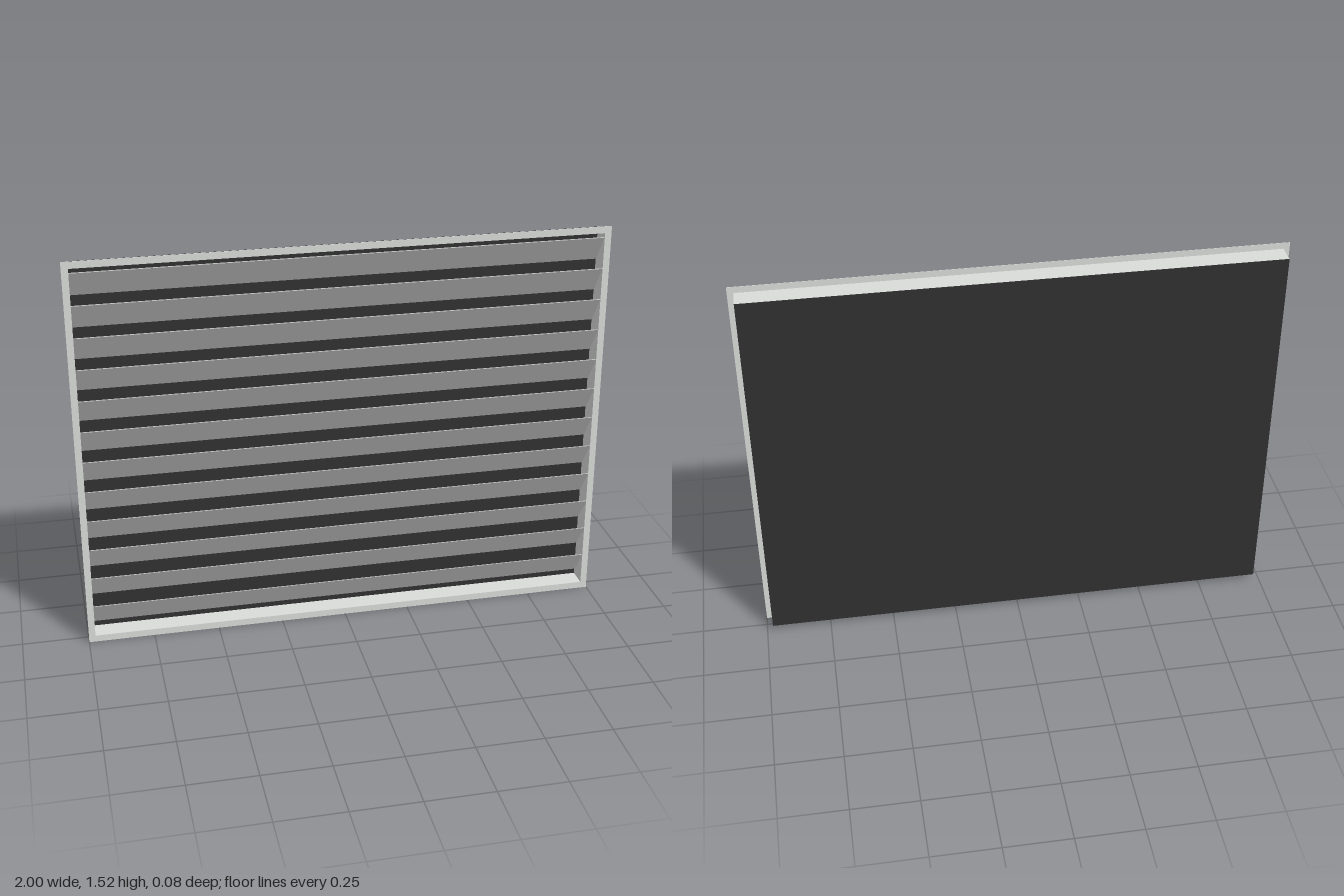
import * as THREE from 'three';

const W = 0.977, BOTTOM = 0.024, TOP = 1.496, H = 1.52, D = 0.039;

// Rectangular ring with a rectangular opening, extruded from z0 to z1
function ring(x, y0, y1, hx, hy0, hy1, z0, z1) {
  const rect = (path, a, b, c) => path.moveTo(-a, b).lineTo(a, b).lineTo(a, c).lineTo(-a, c).closePath();
  const shape = rect(new THREE.Shape(), x, y0, y1);
  shape.holes.push(rect(new THREE.Path(), hx, hy0, hy1));
  return new THREE.ExtrudeGeometry(shape, { depth: z1 - z0, bevelEnabled: false }).translate(0, 0, z0);
}

export function createModel() {
  const paleGrey = new THREE.MeshStandardMaterial({ color: 0xdadcda });
  paleGrey.name = 'pale grey';
  const panelDark = new THREE.MeshStandardMaterial({ color: 0x313131 });
  panelDark.name = 'panel dark';

  const group = new THREE.Group();
  group.name = 'louverVent';
  const add = (name, geometry, material) => {
    const mesh = new THREE.Mesh(geometry, material);
    mesh.name = name;
    group.add(mesh);
    return mesh;
  };

  // Thin front flange and the shallow duct behind it
  const t = 0.002, flange = 0.0015;
  add('flange', ring(1, 0, H, W - t, BOTTOM + t, TOP - t, D - flange, D), paleGrey);
  add('duct', ring(W, BOTTOM, TOP, W - t, BOTTOM + t, TOP - t, -D + 0.002, D - flange), paleGrey);

  // Dark panel closing the back
  const panel = add('backPanel', new THREE.BoxGeometry(2 * W, TOP - BOTTOM, 0.002), panelDark);
  panel.position.set(0, (TOP + BOTTOM) / 2, -D + 0.001);

  // Slats: high at the front, sloping down to the back
  const profile = new THREE.Shape([
    new THREE.Vector2(-0.034, -0.103), new THREE.Vector2(-0.034, -0.106),
    new THREE.Vector2(0.037, -0.003), new THREE.Vector2(0.037, 0),
  ]);
  const length = 2 * (W - t);
  const slat = new THREE.ExtrudeGeometry(profile, { depth: length, bevelEnabled: false });
  slat.translate(0, 0, -length / 2).rotateY(-Math.PI / 2);
  for (let i = 0; i < 12; i++) {
    add('slat' + (i + 1), slat, paleGrey).position.y = 1.479 - i * 0.1205;
  }
  return group;
}
